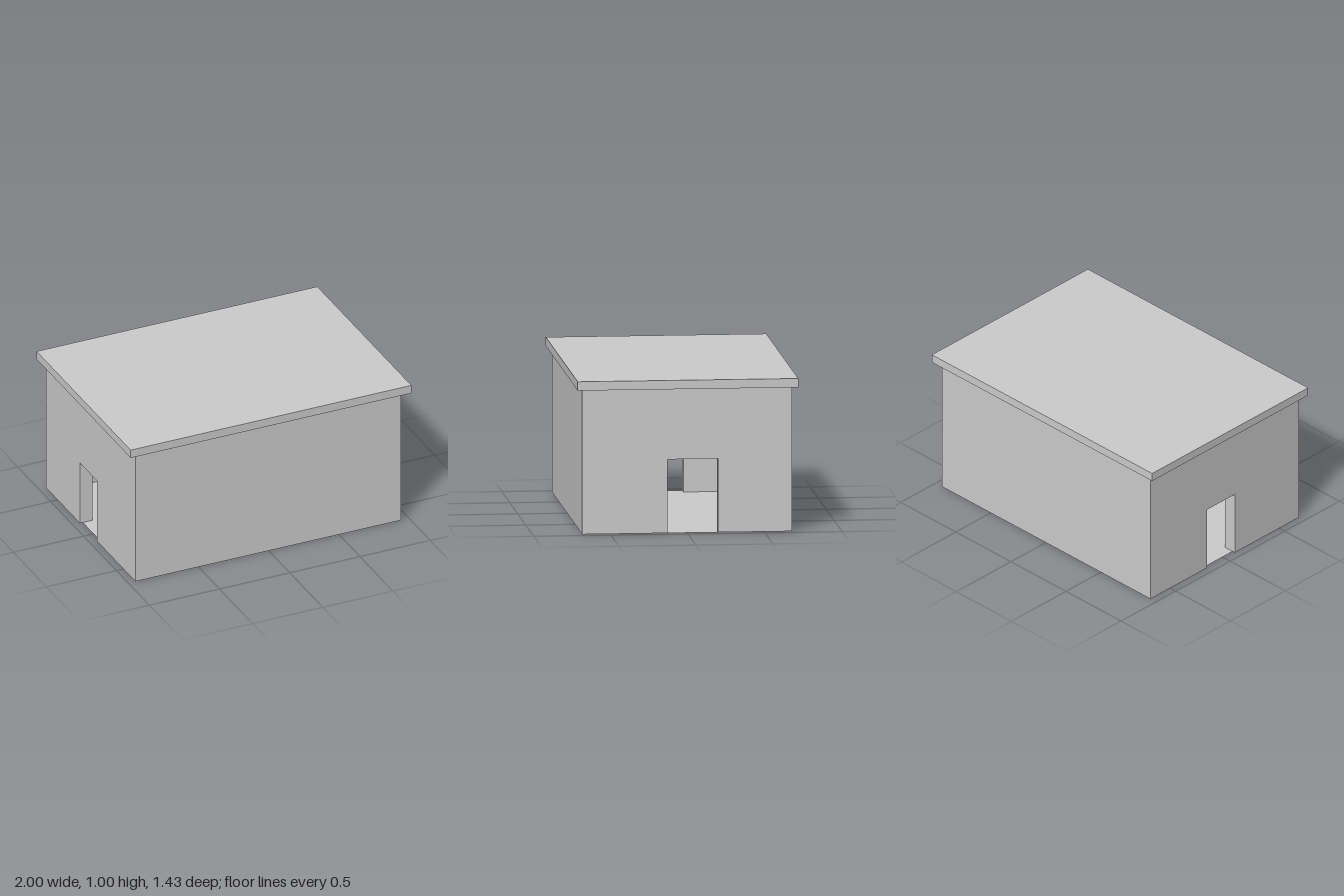
import * as THREE from 'three';

const material = new THREE.MeshStandardMaterial({ color: 0xcccccc, flatShading: true });
const floorMaterial = new THREE.MeshStandardMaterial({ color: 0xcccccc, side: THREE.DoubleSide });

const WALL_TOP = 0.945, HALF_Z = 0.68, LEFT_X = 0.943, RIGHT_X = -0.95, THICK = 0.07;

function add(group, name, geometry, x, y, z, mat = material) {
  const mesh = new THREE.Mesh(geometry, mat);
  mesh.name = name;
  mesh.position.set(x, y, z);
  group.add(mesh);
  return mesh;
}

// End wall with a doorway open to the ground; its outline is drawn along z and extruded along +x.
function doorWall(thickness, zBack, zFront, doorHeight) {
  const shape = new THREE.Shape([
    [-HALF_Z, 0], [-zFront, 0], [-zFront, doorHeight], [-zBack, doorHeight],
    [-zBack, 0], [HALF_Z, 0], [HALF_Z, WALL_TOP], [-HALF_Z, WALL_TOP],
  ].map(([x, y]) => new THREE.Vector2(x, y)));
  return new THREE.ExtrudeGeometry(shape, { depth: thickness, bevelEnabled: false }).rotateY(Math.PI / 2);
}

export function createModel() {
  const group = new THREE.Group();
  group.name = 'building';

  // End walls: a wide doorway on the left, a narrower one on the right
  add(group, 'leftDoorWall', doorWall(THICK, -0.2, 0.127, 0.48), LEFT_X - THICK, 0, 0);
  add(group, 'rightDoorWall', doorWall(0.09, -0.163, 0.093, 0.447), RIGHT_X, 0, 0);

  // Plain long walls between the end walls
  const innerRight = RIGHT_X + 0.09, innerLeft = LEFT_X - THICK;
  for (const [name, side] of [['frontWall', 1], ['backWall', -1]]) {
    add(group, name, new THREE.BoxGeometry(innerLeft - innerRight, WALL_TOP, THICK),
      (innerLeft + innerRight) / 2, WALL_TOP / 2, side * (HALF_Z - THICK / 2));
  }

  // Thin floor, stopping just short of the right wall's outer face
  const floorRight = RIGHT_X + 0.02;
  add(group, 'floor', new THREE.PlaneGeometry(LEFT_X - floorRight, HALF_Z * 2).rotateX(-Math.PI / 2),
    (LEFT_X + floorRight) / 2, 0, 0, floorMaterial);

  // Overhanging flat roof
  add(group, 'roofSlab', new THREE.BoxGeometry(2, 1.003 - WALL_TOP, 1.43), 0, (1.003 + WALL_TOP) / 2, 0);

  return group;
}
